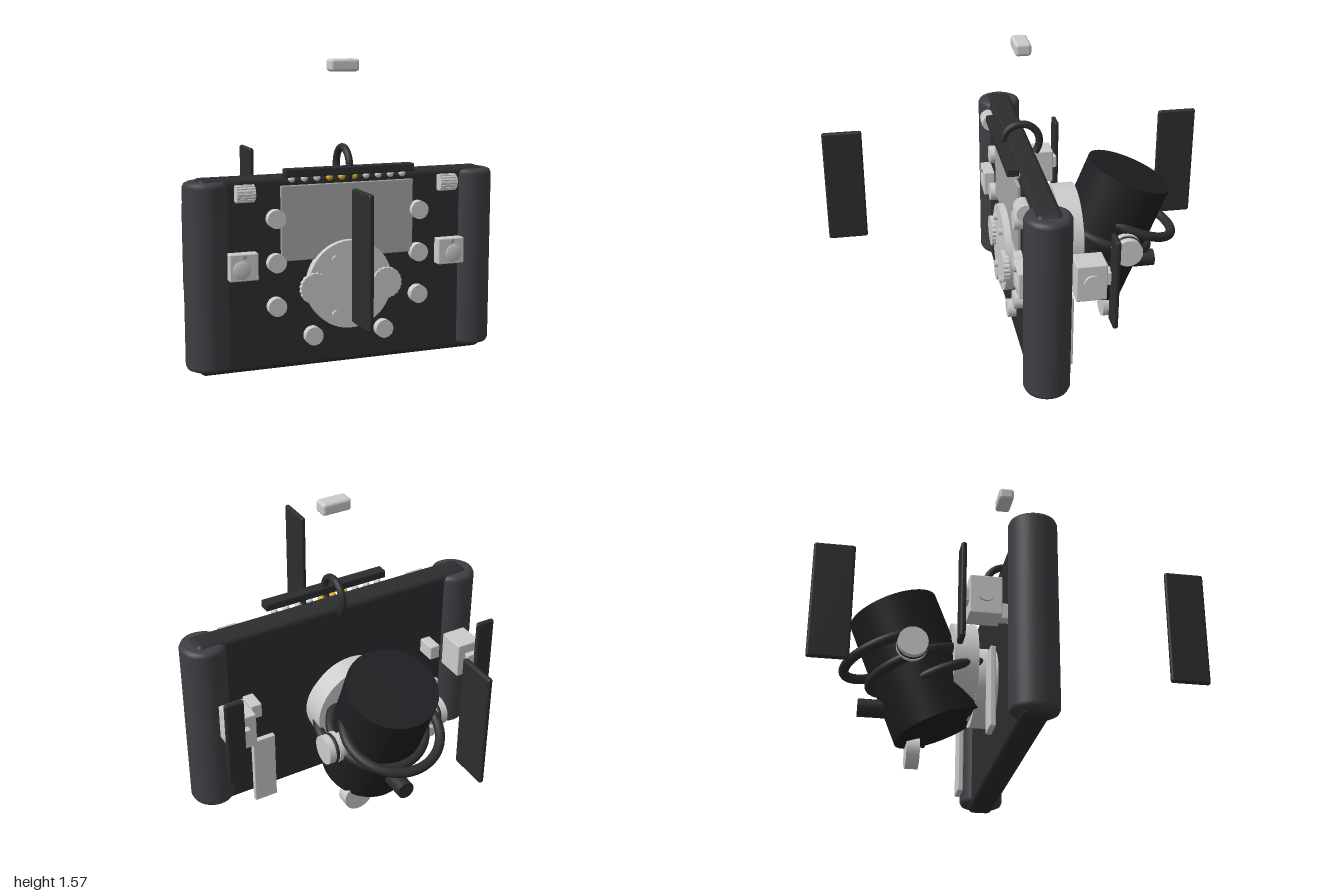
import * as THREE from 'three';
import { RoundedBoxGeometry } from 'three/addons/geometries/RoundedBoxGeometry.js';

const material = (color) => new THREE.MeshStandardMaterial({ color });

export function createModel() {
  const model = new THREE.Group();
  const light = material(0xcccccc);
  const grey = material(0xa6a6a6);
  const body = material(0x2c2d2f);
  const grip = material(0x3e3f43);
  const black = material(0x1f1e22);
  const yellow = material(0xe0b020);

  const add = (name, geometry, mat, x, y, z, parent = model) => {
    const mesh = new THREE.Mesh(geometry, mat);
    mesh.name = name;
    mesh.position.set(x, y, z);
    parent.add(mesh);
    return mesh;
  };
  const box = (w, h, d, r = 0.006) => new RoundedBoxGeometry(w, h, d, 3, r);
  // Cylinders laid along x or z
  const cylX = (r, len, n = 32) => new THREE.CylinderGeometry(r, r, len, n).rotateZ(Math.PI / 2);
  const cylZ = (r, len, n = 32) => new THREE.CylinderGeometry(r, r, len, n).rotateX(Math.PI / 2);

  // Main plate, top bar and screen
  add('bodyPlate', box(1.56, 0.995, 0.13, 0.03), body, 0, 0.502, 0);
  add('topBar', box(0.695, 0.042, 0.06), body, -0.002, 1.02, 0.098);
  add('screen', box(0.72, 0.385, 0.03, 0.004), grey, 0, 0.76, 0.065);

  // Row of indicator lamps
  for (let i = 0; i < 10; i++) {
    const mat = i >= 3 && i <= 5 ? yellow : light;
    add('lamp', new THREE.SphereGeometry(0.018, 16, 10), mat, -0.302 + i * 0.067, 0.985, 0.072);
  }

  // Carrying loop: an open arc straddling the top edge
  const loop = add('carryLoop', new THREE.TorusGeometry(0.095, 0.019, 14, 48, Math.PI * 1.44), body, 0, 1.03, 0);
  loop.rotation.order = 'YXZ';
  loop.rotation.set(0, Math.PI / 2, -0.22 * Math.PI);

  // Front dial with bolts and scalloped knobs
  add('dialDisc', cylZ(0.23, 0.06, 64), light, 0, 0.43, 0.085);
  for (const x of [-0.085, 0.085])
    for (const y of [0.28, 0.567]) add('dialBolt', cylZ(0.021, 0.02, 6), light, x, y, 0.122);

  const scallop = new THREE.Shape();
  for (let i = 0; i <= 120; i++) {
    const a = (i / 120) * Math.PI * 2;
    const r = 0.077 + 0.005 * Math.abs(Math.sin(a * 10));
    scallop[i ? 'lineTo' : 'moveTo'](r * Math.cos(a), r * Math.sin(a));
  }
  const knobGeometry = new THREE.ExtrudeGeometry(scallop, { depth: 0.03, bevelEnabled: false });

  // Grip end profile with a softened rim
  const h = 0.478, r = 0.115;
  const gripProfile = [[0, -h], [r - 0.025, -h], [r - 0.008, -h + 0.008], [r, -h + 0.025],
    [r, h - 0.025], [r - 0.008, h - 0.008], [r - 0.025, h], [0, h]]
    .map(([x, y]) => new THREE.Vector2(x, y));

  // Parts mirrored on both sides
  for (const s of [-1, 1]) {
    add('sideGrip', new THREE.LatheGeometry(gripProfile, 48), grip, s * 0.727, 0.508, 0);
    add('dialKnob', knobGeometry, light, s * 0.195, 0.425, 0.105);

    for (const [x, y] of [[0.39, 0.79], [0.39, 0.565], [0.39, 0.34], [0.195, 0.17]])
      add('button', cylZ(0.048, 0.05), light, s * x, y, 0.083);

    // Ribbed thumb roller
    add('roller', cylX(0.042, 0.096, 24), light, s * 0.55, 0.927, 0.082).material.flatShading = false;
    for (let i = 0; i < 9; i++) {
      const a = -1.4 + i * 0.35;
      add('rollerRib', box(0.096, 0.007, 0.007, 0.002), light,
        s * 0.55, 0.927 + 0.042 * Math.sin(a), 0.082 + 0.042 * Math.cos(a));
    }

    // Front switch block
    add('switchBlock', box(0.148, 0.138, 0.06), light, s * 0.567, 0.562, 0.093);
    const dome = add('switchDome', new THREE.SphereGeometry(0.05, 24, 14), light, s * 0.58, 0.55, 0.12);
    dome.scale.z = 0.2;
    add('switchPin', cylZ(0.011, 0.02, 12), grey, s * 0.567, 0.617, 0.125);

    // Rear post and hanging plate
    add('rearPost', box(0.058, 0.08, 0.11), light, s * 0.53, 0.6, -0.11);
    add('rearPlate', box(0.125, 0.39, 0.028), light, s * 0.498, 0.225, -0.154);

    // Rear side block with its paddle
    add('sideBlock', box(0.133, 0.19, 0.15), light, s * 0.658, 0.595, -0.215);
    add('sideBlockCap', cylX(0.04, 0.02), light, s * 0.727, 0.6, -0.215);
    add('paddleMount', box(0.07, 0.07, 0.04), light, s * 0.67, 0.6, -0.3);
    add('paddle', box(0.1, 0.47, 0.026, 0.01), body, s * 0.722, 0.595, -0.325);

    // Floating fin in front and behind
    add('fin', box(0.028, 0.61, 0.205, 0.012), body, -0.252, 0.735, s * 0.896);

    // Canister pivots
    add('pivotHub', cylX(0.06, 0.14), light, s * 0.25, 0.515, -0.5);
    add('pivotWasher', cylX(0.077, 0.02), light, s * 0.275, 0.515, -0.5);
    add('pivotRing', new THREE.TorusGeometry(0.066, 0.011, 10, 36).rotateY(Math.PI / 2), body, s * 0.295, 0.515, -0.5);
    add('pivotCap', cylX(0.073, 0.035), light, s * 0.322, 0.515, -0.5);
  }

  // Rear mounting flange and collar
  add('rearFlange', cylZ(0.2, 0.12, 64), light, 0, 0.43, -0.115);
  add('rearCollar', cylZ(0.245, 0.12, 64), light, 0, 0.508, -0.228);

  // Tilted canister
  const tilt = -0.384;
  const can = add('canister', new THREE.CylinderGeometry(0.23, 0.23, 0.657, 64), black, 0, 0.511, -0.453);
  can.rotation.x = tilt;

  // Stepped hoops round the canister
  for (const [y, z] of [[0.57, -0.583], [0.502, -0.452], [0.433, -0.318]]) {
    const hoop = add('hoop', new THREE.TorusGeometry(0.243, 0.025, 14, 64).rotateX(Math.PI / 2), body, 0, y, z);
    hoop.rotation.x = tilt;
  }

  // Canister outlet and foot
  add('outlet', cylZ(0.045, 0.26), body, 0, 0.287, -0.6);
  add('foot', cylZ(0.08, 0.066), light, 0.12, 0.112, -0.446);

  // Floating block above
  add('topBlock', box(0.156, 0.064, 0.08, 0.016), light, 0, 1.542, 0);

  return model;
}
